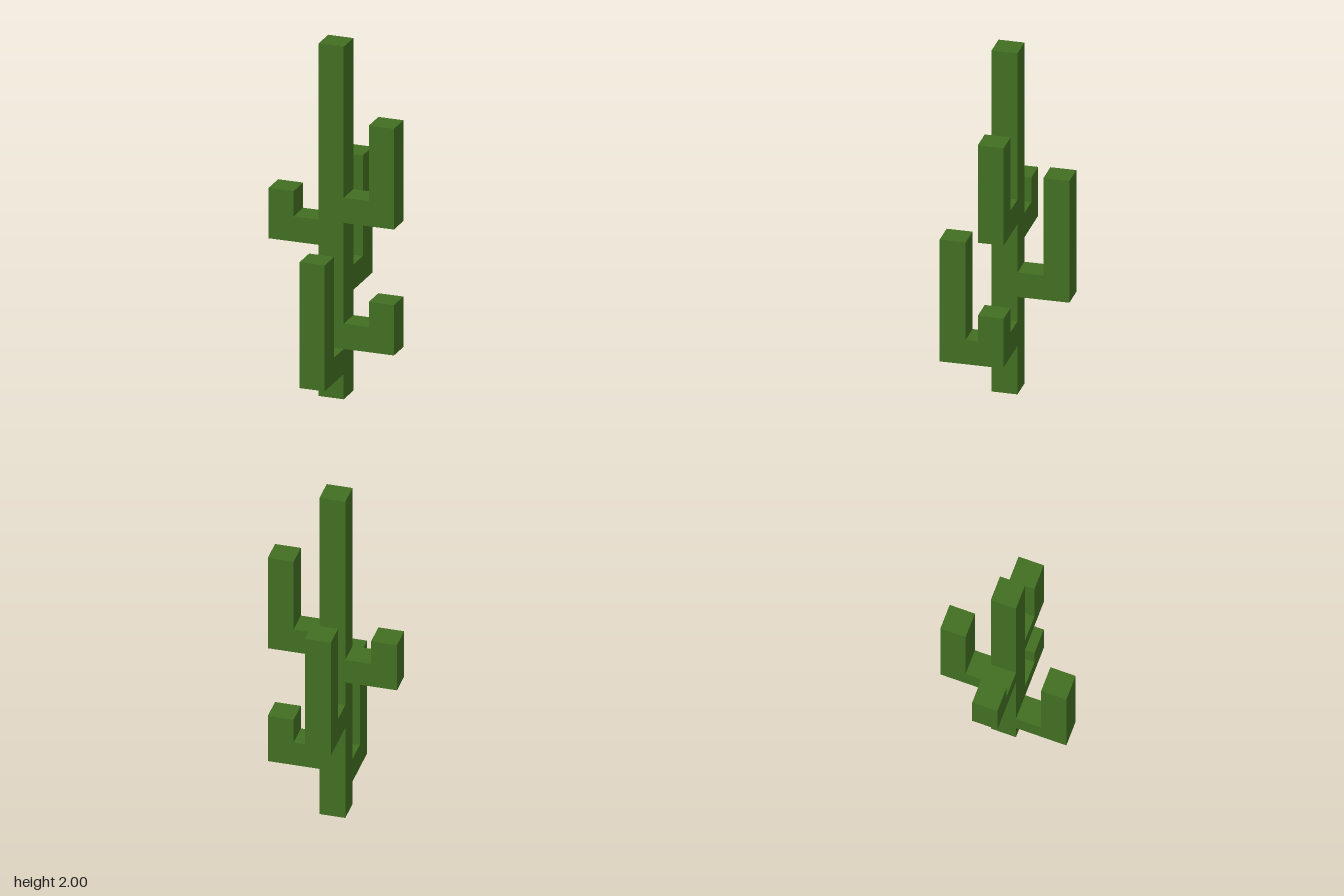
import * as THREE from 'three';

// One block of the cactus; the trunk is 14 blocks tall
const U = 2 / 14;

export function createModel() {
  const cactus = new THREE.Group();
  cactus.name = 'cactus';
  const green = new THREE.MeshStandardMaterial({ color: 0x426f22 });
  green.name = 'cactusGreen';

  // Square trunk
  const trunk = new THREE.Mesh(new THREE.BoxGeometry(U, 14 * U, U), green);
  trunk.name = 'trunk';
  trunk.position.y = 7 * U;
  cactus.add(trunk);

  // L-shaped arm reaching out along +x, then turned around the trunk
  function addArm(name, angle, bottom, top) {
    const outline = [
      [0.5, bottom], [2.5, bottom], [2.5, top],
      [1.5, top], [1.5, bottom + 1], [0.5, bottom + 1],
    ].map(([x, y]) => new THREE.Vector2(x * U, y * U));
    const geometry = new THREE.ExtrudeGeometry(new THREE.Shape(outline), { depth: U, bevelEnabled: false });
    geometry.translate(0, 0, -U / 2);
    const arm = new THREE.Mesh(geometry, green);
    arm.name = name;
    arm.rotation.y = angle;
    cactus.add(arm);
  }

  // Heights are in blocks
  addArm('frontArm', -Math.PI / 2, 1, 6);
  addArm('lowerLeftArm', 0, 2, 4);
  addArm('backArm', Math.PI / 2, 4, 9);
  addArm('rightArm', Math.PI, 6, 8);
  addArm('upperLeftArm', 0, 7, 11);

  return cactus;
}
